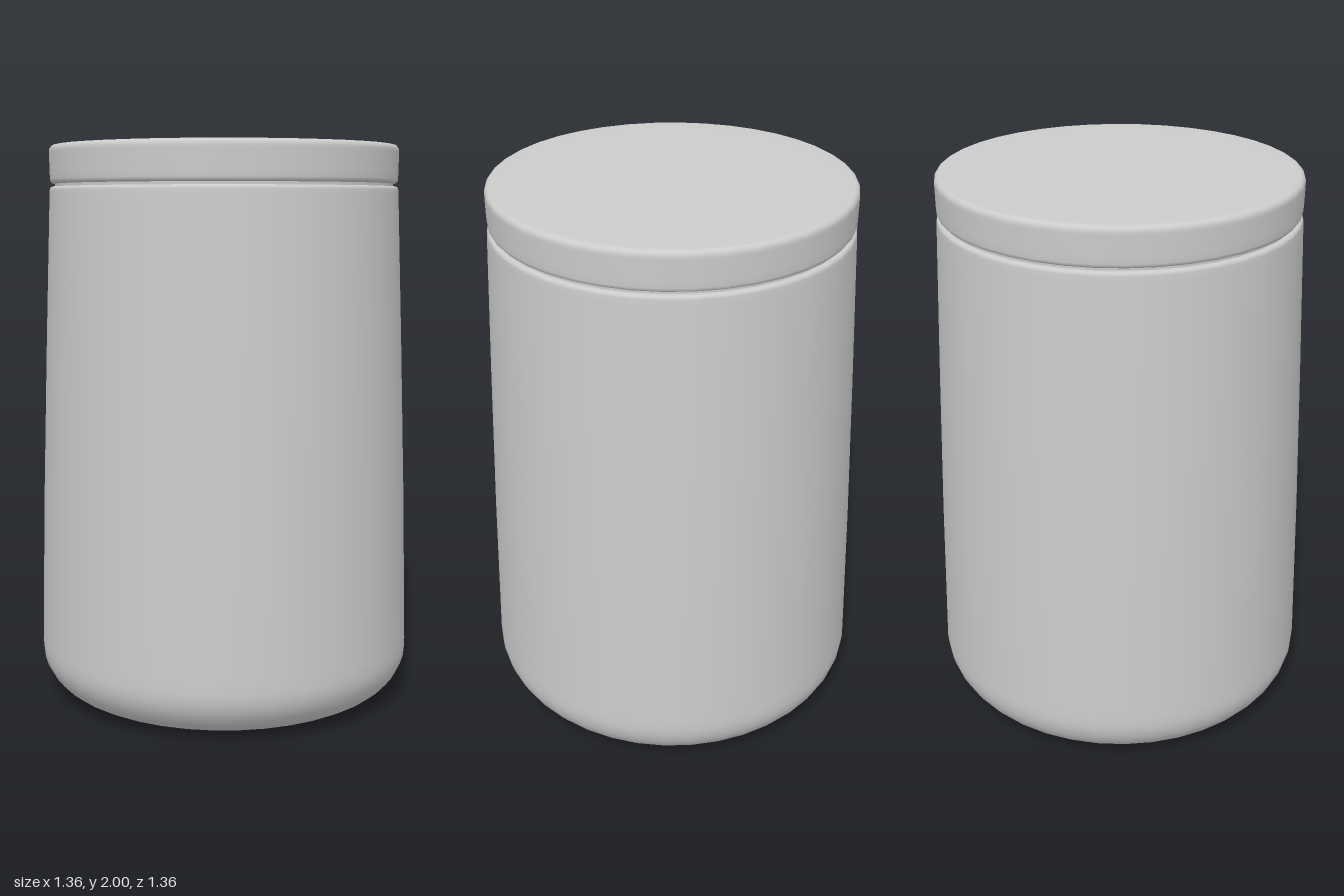
import * as THREE from 'three';

const SIDES = 40;

// Turns a profile (bottom to top, radius and height) into a smooth round part
function turned(name, profile) {
  const points = profile.map(([r, y]) => new THREE.Vector2(r, y));
  const material = new THREE.MeshStandardMaterial({ color: 0xcccccc });
  const mesh = new THREE.Mesh(new THREE.LatheGeometry(points, SIDES), material);
  mesh.name = name;
  return mesh;
}

// Quarter-ellipse corner from angle a to b (degrees) around (cr, cy)
function corner(cr, cy, rr, ry, a, b, steps) {
  const out = [];
  for (let i = 0; i <= steps; i++) {
    const t = THREE.MathUtils.degToRad(a + ((b - a) * i) / steps);
    out.push([cr + rr * Math.cos(t), cy + ry * Math.sin(t)]);
  }
  return out;
}

export function createModel() {
  const jar = new THREE.Group();
  jar.name = 'jar';

  // Tapered body: flat base, wide rounded foot, softly rolled shoulder
  jar.add(turned('body', [
    [0, 0], [0.3, 0.003], [0.46, 0.008],
    ...corner(0.51, 0.18, 0.17, 0.17, -90, 0, 8),
    [0.679, 0.22], [0.665, 0.75], [0.646, 1.3], [0.626, 1.82],
    ...corner(0.614, 1.84, 0.011, 0.013, 0, 90, 3),
    [0.605, 1.853], [0.57, 1.853],
  ]));

  // Recessed neck seen in the gap under the lid
  jar.add(turned('neck', [[0.605, 1.84], [0.605, 1.88]]));

  // Lid: flat disc with softened rims
  jar.add(turned('lid', [
    [0, 1.863], [0.58, 1.863], [0.608, 1.863],
    ...corner(0.61, 1.878, 0.013, 0.015, -80, 0, 3),
    [0.624, 1.9], [0.625, 1.97],
    ...corner(0.605, 1.978, 0.02, 0.02, 0, 90, 4),
    [0.57, 1.999], [0.5, 2], [0, 2],
  ]));

  return jar;
}
